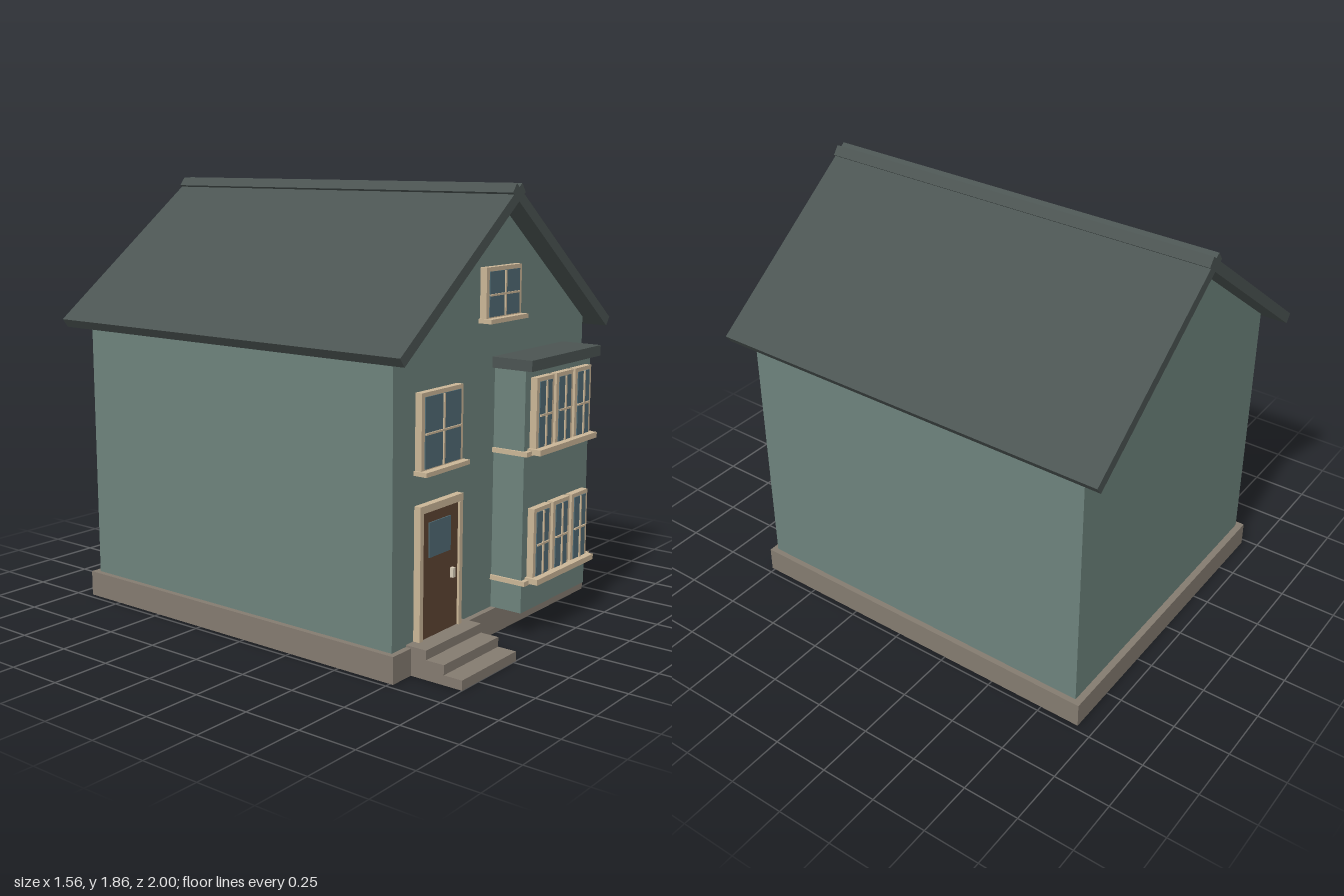
import * as THREE from 'three';

const mat = (name, color) => {
  const m = new THREE.MeshStandardMaterial({ color });
  m.name = name;
  return m;
};

export function createModel() {
  const wall = mat('sage wall', 0x6d837c);
  const slate = mat('dark slate', 0x4b5452);
  const stone = mat('grey stone', 0x847b70);
  const trim = mat('cream trim', 0xcbb697);
  const glass = mat('blue glass', 0x506b75);
  const wood = mat('brown wood', 0x5e4433);
  const metal = mat('pale metal', 0xd8cdb8);

  const house = new THREE.Group();
  house.name = 'house';

  // Box given by its limits on each axis
  const box = (name, material, x0, x1, y0, y1, z0, z1, parent = house) => {
    const mesh = new THREE.Mesh(new THREE.BoxGeometry(x1 - x0, y1 - y0, z1 - z0), material);
    mesh.position.set((x0 + x1) / 2, (y0 + y1) / 2, (z0 + z1) / 2);
    mesh.name = name;
    parent.add(mesh);
    return mesh;
  };

  // Rectangular border with an opening, standing out from plane z
  const border = (name, x0, x1, y0, y1, side, top, bottom, z, depth, parent) => {
    const shape = new THREE.Shape([
      new THREE.Vector2(x0, y0), new THREE.Vector2(x1, y0),
      new THREE.Vector2(x1, y1), new THREE.Vector2(x0, y1)]);
    shape.holes.push(new THREE.Path([
      new THREE.Vector2(x0 + side, y0 + bottom), new THREE.Vector2(x0 + side, y1 - top),
      new THREE.Vector2(x1 - side, y1 - top), new THREE.Vector2(x1 - side, y0 + bottom)]));
    const mesh = new THREE.Mesh(new THREE.ExtrudeGeometry(shape, { depth, bevelEnabled: false }), trim);
    mesh.position.z = z;
    mesh.name = name;
    parent.add(mesh);
  };

  // Framed window with a pane and crossed glazing bars
  const makeWindow = (name, x0, x1, y0, y1, z, sill) => {
    const g = new THREE.Group();
    g.name = name;
    house.add(g);
    const f = 0.02, bar = 0.004, xm = (x0 + x1) / 2, ym = (y0 + y1 - 0.015) / 2;
    border('windowFrame', x0, x1, y0, y1, f, 0.017, 0.008, z, 0.03, g);
    box('windowPane', glass, x0 + f, x1 - f, y0 + 0.008, y1 - 0.017, z, z + 0.034, g);
    box('verticalBar', trim, xm - bar, xm + bar, y0 + 0.008, y1 - 0.017, z + 0.03, z + 0.04, g);
    box('horizontalBar', trim, x0 + f, x1 - f, ym - bar, ym + bar, z + 0.03, z + 0.04, g);
    if (sill) box('windowSill', trim, x0 - 0.008, x1 + 0.008, y0 - 0.015, y0 + 0.003, z, z + 0.06, g);
  };

  // Gabled walls in one extrusion
  const gable = new THREE.Shape([[-0.7, 0.11], [0.7, 0.11], [0.7, 1.257], [0, 1.782], [-0.7, 1.257]]
    .map(([x, y]) => new THREE.Vector2(x, y)));
  const body = new THREE.Mesh(
    new THREE.ExtrudeGeometry(gable, { depth: 1.64, bevelEnabled: false }), wall);
  body.position.z = -0.9;
  body.name = 'walls';
  house.add(body);

  box('foundation', stone, -0.725, 0.725, 0, 0.11, -0.93, 0.765);

  // Roof slabs crossing at the ridge
  for (const s of [-1, 1]) {
    const slab = new THREE.Mesh(new THREE.BoxGeometry(1.0, 0.045, 1.83), slate);
    slab.position.set(s * 0.3665, 1.537, -0.085);
    slab.rotation.z = -s * Math.atan2(0.6, 0.8);
    slab.name = s < 0 ? 'rightRoofSlab' : 'leftRoofSlab';
    house.add(slab);
  }

  // Front steps
  [[0, 0.04, 1.0], [0.04, 0.08, 0.917], [0.08, 0.118, 0.835]].forEach(([y0, y1, z], i) =>
    box('step' + (i + 1), stone, -0.61, -0.23, y0, y1, 0.74, z));

  // Front door
  const door = new THREE.Group();
  door.name = 'frontDoor';
  house.add(door);
  for (const [x0, x1] of [[-0.562, -0.54], [-0.295, -0.274]])
    box('doorJamb', trim, x0, x1, 0.11, 0.655, 0.74, 0.77, door);
  box('doorLintel', trim, -0.54, -0.295, 0.625, 0.655, 0.74, 0.77, door);
  box('doorLeaf', wood, -0.54, -0.295, 0.11, 0.625, 0.74, 0.76, door);
  box('doorPane', glass, -0.495, -0.35, 0.44, 0.58, 0.758, 0.765, door);
  box('doorHandle', metal, -0.345, -0.329, 0.325, 0.365, 0.758, 0.775, door);

  // Two-storey bay with flat roof
  box('bayWalls', wall, -0.012, 0.512, 0.11, 1.12, 0.73, 0.885);
  box('bayRoof', slate, -0.032, 0.53, 1.12, 1.165, 0.73, 0.925);
  for (const y of [0.23, 0.77]) {
    box('bayBand', trim, -0.022, 0.522, y, y + 0.02, 0.74, 0.905);
    box('baySill', trim, 0.014, 0.482, y + 0.004, y + 0.028, 0.885, 0.945);
    for (const x of [0.095, 0.249, 0.403])
      makeWindow('bayWindow', x - 0.067, x + 0.067, y + 0.022, y + 0.317, 0.885, false);
  }

  // Windows in the front wall
  makeWindow('upperWindow', -0.56, -0.283, 0.79, 1.092, 0.74, true);
  makeWindow('atticWindow', -0.13, 0.13, 1.325, 1.53, 0.74, true);

  return house;
}
